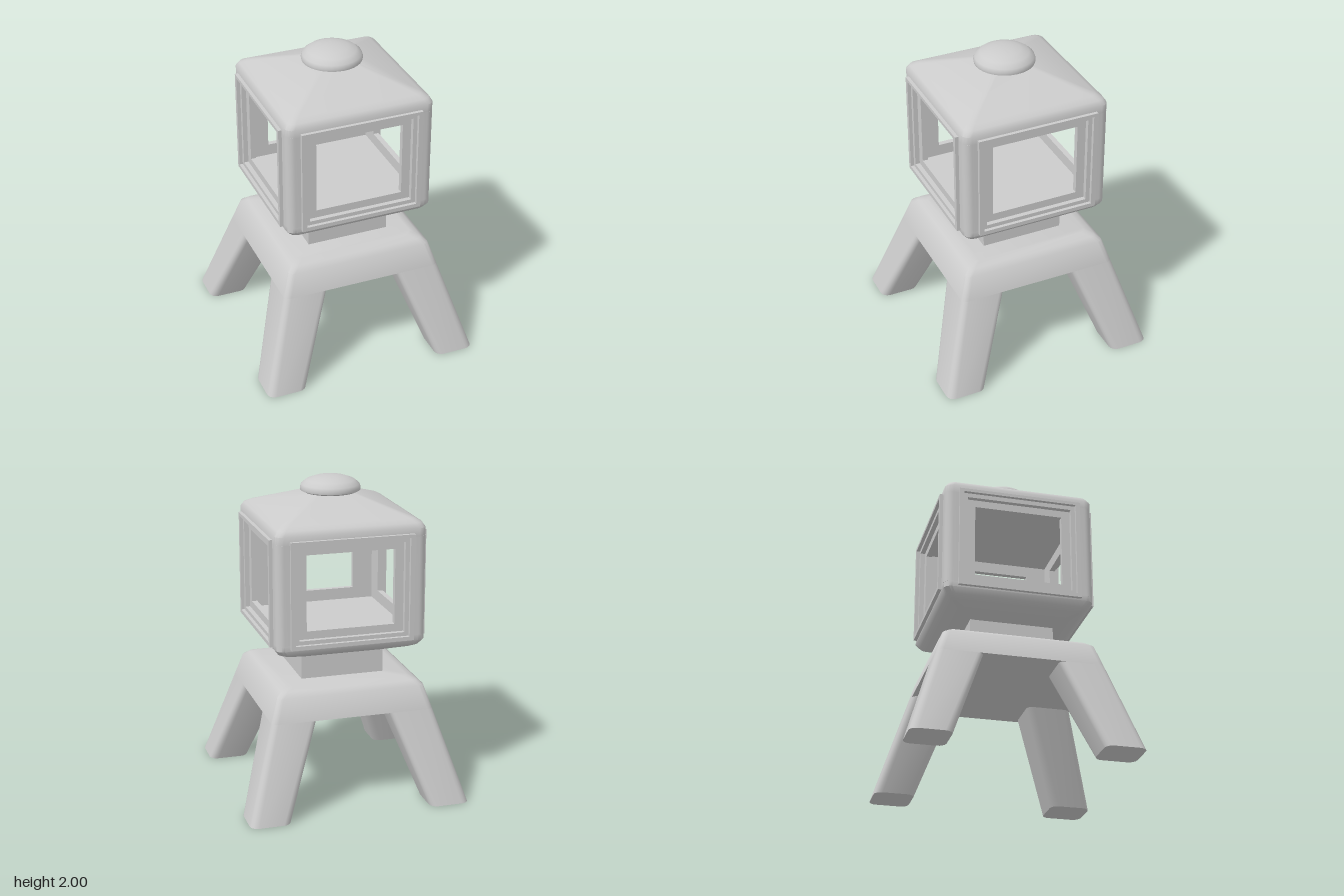
import * as THREE from 'three';
import { toCreasedNormals } from 'three/addons/utils/BufferGeometryUtils.js';

const material = new THREE.MeshStandardMaterial({ color: 0xcccccc });

function part(name, geometry) {
  const mesh = new THREE.Mesh(geometry, material);
  mesh.name = name;
  return mesh;
}

// Closed loft through rounded squares, bottom to top: [y, halfWidth, cornerRadius, centre = 0]
function loft(rings, crease = 0.7) {
  const steps = 4, n = 4 * (steps + 1);
  const pos = [], index = [];
  for (const [y, half, r, c = 0] of rings) {
    for (let q = 0; q < 4; q++) {
      const mid = (q + 0.5) * Math.PI / 2;
      const cx = c + Math.sign(Math.cos(mid)) * (half - r);
      const cz = c + Math.sign(Math.sin(mid)) * (half - r);
      for (let s = 0; s <= steps; s++) {
        const a = (q + s / steps) * Math.PI / 2;
        pos.push(cx + r * Math.cos(a), y, cz + r * Math.sin(a));
      }
    }
  }
  const last = rings.length - 1;
  for (let i = 0; i < last; i++) {
    for (let k = 0; k < n; k++) {
      const a = i * n + k, b = i * n + (k + 1) % n;
      index.push(a, a + n, b, b, a + n, b + n);
    }
  }
  for (let k = 1; k < n - 1; k++) {
    index.push(0, k, k + 1);
    index.push(last * n, last * n + k + 1, last * n + k);
  }
  const g = new THREE.BufferGeometry();
  g.setAttribute('position', new THREE.Float32BufferAttribute(pos, 3));
  g.setIndex(index);
  return toCreasedNormals(g, crease);
}

function rectangle(target, x0, x1, y0, y1) {
  target.moveTo(x0, y0);
  target.lineTo(x1, y0);
  target.lineTo(x1, y1);
  target.lineTo(x0, y1);
  target.closePath();
  return target;
}

// Rectangular ring: half widths and heights in XY, from depth z0 to z1
function frame(outerX, bottom, top, innerX, innerBottom, innerTop, z0, z1) {
  const shape = rectangle(new THREE.Shape(), -outerX, outerX, bottom, top);
  shape.holes.push(rectangle(new THREE.Path(), -innerX, innerX, innerBottom, innerTop));
  return new THREE.ExtrudeGeometry(shape, { depth: z1 - z0, bevelEnabled: false }).translate(0, 0, z0);
}

export function createModel() {
  const model = new THREE.Group();
  model.name = 'lantern';

  // Platform with bevelled top edge
  const outer = y => 0.475 + (0.73 - y) * 0.315;
  const inner = y => 0.235 + (0.585 - y) * 0.3675;
  model.add(part('platform', loft([
    [0.585, outer(0.585), 0.04], [0.73, 0.475, 0.04], [0.758, 0.44, 0.04], [0.775, 0.39, 0.04],
  ])));

  // Leg sloping outward along the diagonal
  const legRing = (y, r) => [y, (outer(y) - inner(y)) / 2, r, (outer(y) + inner(y)) / 2];
  const legGeometry = loft([legRing(0, 0.05), legRing(0.585, 0.04)]);

  // Neck
  model.add(part('neck', new THREE.BoxGeometry(0.53, 0.165, 0.53).translate(0, 0.8475, 0)));

  // Lantern base and roof
  model.add(part('lanternBase', loft([
    [0.92, 0.265, 0.02], [0.975, 0.41, 0.04], [0.995, 0.45, 0.05], [1.03, 0.475, 0.05], [1.065, 0.475, 0.05],
  ])));
  model.add(part('roof', loft([
    [1.69, 0.475, 0.05], [1.74, 0.475, 0.05], [1.77, 0.457, 0.05], [1.79, 0.42, 0.04], [1.9, 0.13, 0.02],
  ])));

  // Corner post with a rounded outer edge
  const post = new THREE.Shape();
  post.moveTo(0.375, 0.41);
  post.lineTo(0.41, 0.41);
  post.lineTo(0.41, 0.375);
  post.lineTo(0.475, 0.375);
  post.lineTo(0.475, 0.425);
  post.absarc(0.425, 0.425, 0.05, 0, Math.PI / 2, false);
  post.lineTo(0.375, 0.475);
  post.closePath();
  const postGeometry = toCreasedNormals(
    new THREE.ExtrudeGeometry(post, { depth: 0.625, bevelEnabled: false, curveSegments: 4 })
      .rotateX(-Math.PI / 2).translate(0, 1.065, 0), 0.7);

  // Window: raised rim, inner step and recessed panel
  const rim = frame(0.39, 1.04, 1.71, 0.362, 1.065, 1.69, 0.44, 0.497);
  const step = frame(0.38, 1.05, 1.70, 0.335, 1.09, 1.662, 0.43, 0.475);
  const panel = frame(0.40, 1.06, 1.695, 0.28, 1.14, 1.615, 0.41, 0.445);

  // Four identical sides
  for (let i = 0; i < 4; i++) {
    const side = new THREE.Group();
    side.name = 'side' + (i + 1);
    side.rotation.y = i * Math.PI / 2;
    side.add(part('leg', legGeometry), part('cornerPost', postGeometry),
      part('windowRim', rim), part('windowStep', step), part('windowPanel', panel));
    model.add(side);
  }

  // Domed top knob
  const profile = [[0, 1.895], [0.165, 1.9], [0.187, 1.91], [0.19, 1.925], [0.182, 1.947],
    [0.15, 1.972], [0.1, 1.99], [0.05, 1.998], [0, 2]].map(p => new THREE.Vector2(...p));
  model.add(part('knob', toCreasedNormals(new THREE.LatheGeometry(profile, 32), 0.9)));

  return model;
}
